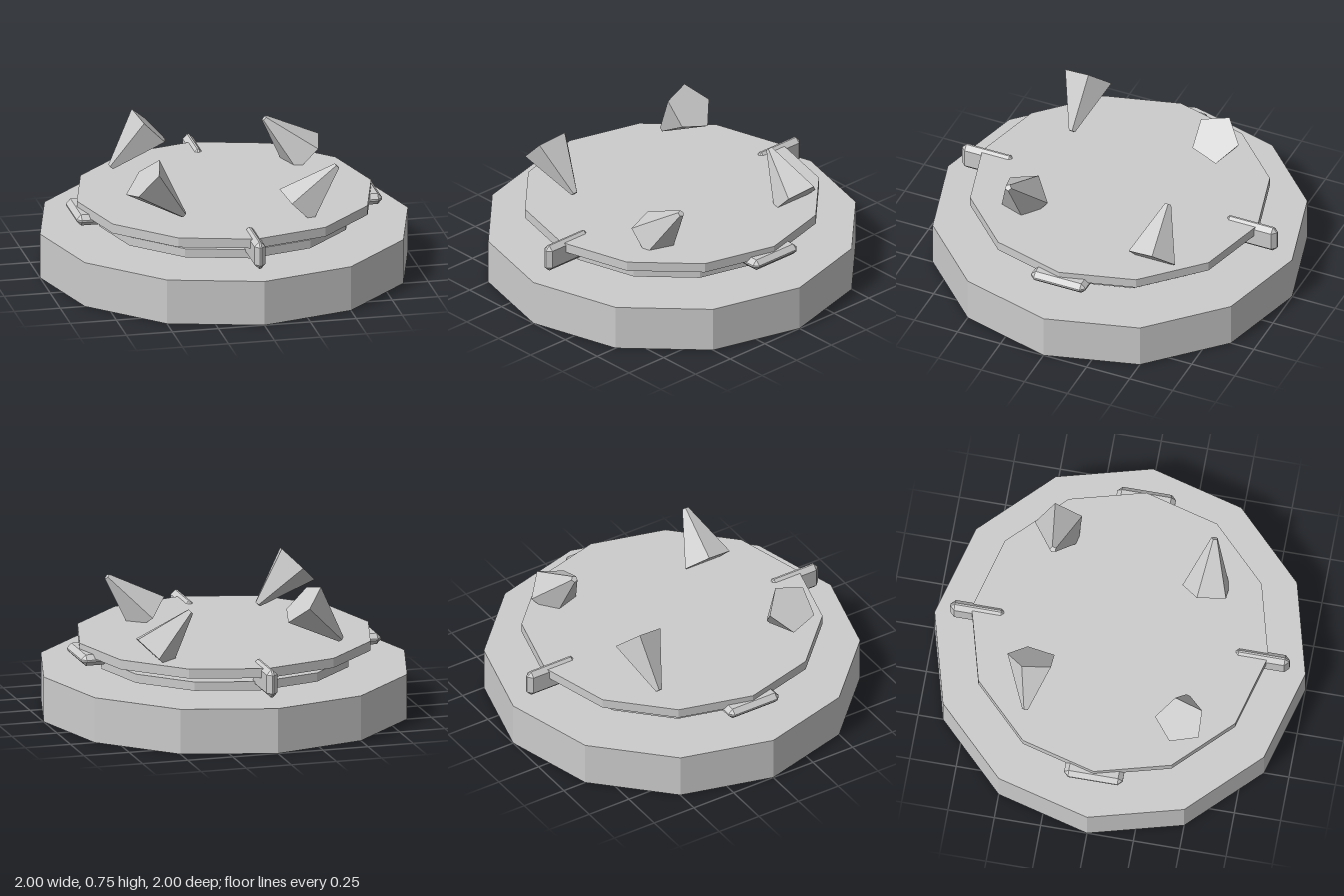
import * as THREE from 'three';
import { ConvexGeometry } from 'three/addons/geometries/ConvexGeometry.js';

const stone = new THREE.MeshStandardMaterial({ color: 0xcccccc, flatShading: true });
stone.name = 'lightGrey';

// Box with chamfered edges and corners
function chamferBox(w, h, d, c) {
  const points = [];
  const [x, y, z] = [w / 2, h / 2, d / 2];
  for (const sx of [-1, 1]) for (const sy of [-1, 1]) for (const sz of [-1, 1]) {
    points.push(
      new THREE.Vector3(sx * x, sy * (y - c), sz * (z - c)),
      new THREE.Vector3(sx * (x - c), sy * y, sz * (z - c)),
      new THREE.Vector3(sx * (x - c), sy * (y - c), sz * z));
  }
  return new ConvexGeometry(points);
}

export function createModel() {
  const model = new THREE.Group();
  model.name = 'crystalPlatform';

  function add(name, geometry, x, y, z, rotZ = 0) {
    const mesh = new THREE.Mesh(geometry, stone);
    mesh.name = name;
    mesh.position.set(x, y, z);
    mesh.rotation.z = rotZ;
    model.add(mesh);
  }

  // Three stacked twelve-sided discs: [name, radius, bottom, top]
  for (const [name, r, y0, y1] of [
    ['base', 1, 0, 0.246],
    ['middleDisc', 0.68, 0.267, 0.315],
    ['topDisc', 0.8, 0.364, 0.416],
  ]) {
    add(name, new THREE.CylinderGeometry(r, r, y1 - y0, 12), 0, (y0 + y1) / 2, 0);
  }

  // Chamfered clamps: upright at front and back, lying flat at the sides
  const upright = chamferBox(0.06, 0.15, 0.3, 0.025);
  const flat = chamferBox(0.15, 0.06, 0.316, 0.025);
  for (const s of [1, -1]) {
    add(s > 0 ? 'frontClamp' : 'backClamp', upright, 0, 0.355, s * 0.765);
    add(s > 0 ? 'leftClamp' : 'rightClamp', flat, s * 0.756, 0.355, 0);
  }

  // Five-sided blunt spikes, each tilted 45 degrees its own way
  const spike = new THREE.CylinderGeometry(0.018, 0.135, 0.302, 5, 1, false, Math.PI);
  for (const [name, sx, sz, turn] of [
    ['frontLeftSpike', 1, 1, -1],
    ['backLeftSpike', 1, -1, 1],
    ['backRightSpike', -1, -1, 3],
    ['frontRightSpike', -1, 1, -3],
  ]) {
    add(name, spike, sx * 0.417, 0.551, sz * 0.417, turn * Math.PI / 4);
  }

  return model;
}
